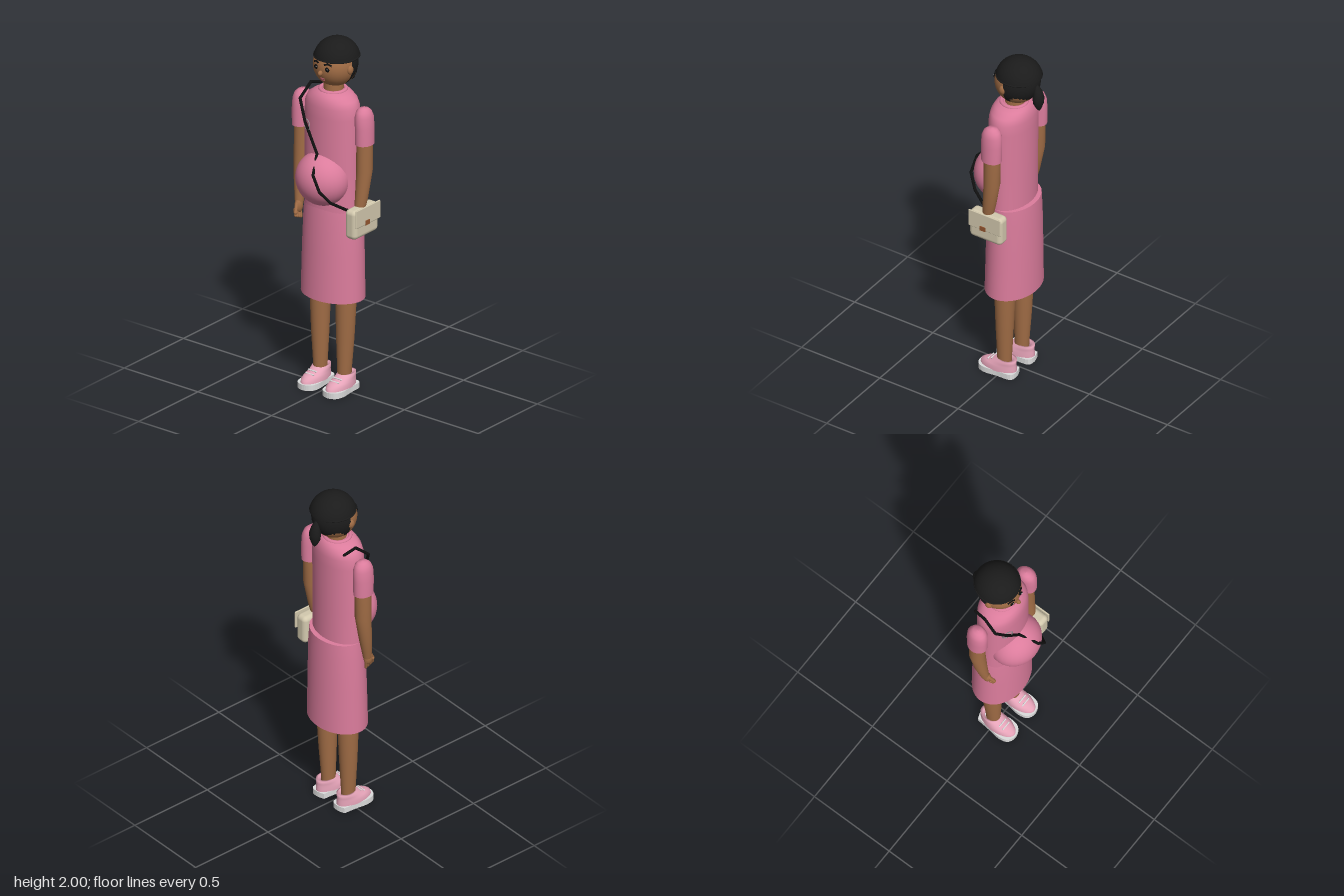
import * as THREE from 'three';
import { RoundedBoxGeometry } from 'three/addons/geometries/RoundedBoxGeometry.js';

const mat = (name, color, side = THREE.FrontSide) => {
  const m = new THREE.MeshStandardMaterial({ color, side });
  m.name = name;
  return m;
};

// Smooth skin through elliptical rings [y, rx, rz, cx, cz], listed bottom to top
function loft(rings, n = 36) {
  const pos = [], idx = [];
  rings.forEach(([y, rx, rz, cx = 0, cz = 0], r) => {
    for (let i = 0; i < n; i++) {
      const a = (i / n) * Math.PI * 2;
      pos.push(cx + rx * Math.cos(a), y, cz + rz * Math.sin(a));
      if (r < rings.length - 1) {
        const p = r * n + i, q = r * n + (i + 1) % n;
        idx.push(p, p + n, q, q, p + n, q + n);
      }
    }
  });
  const g = new THREE.BufferGeometry();
  g.setAttribute('position', new THREE.Float32BufferAttribute(pos, 3));
  g.setIndex(idx);
  g.computeVertexNormals();
  return g;
}

export function createModel() {
  const model = new THREE.Group();
  model.name = 'woman';
  const dress = mat('dress pink', 0xdb7c9c, THREE.DoubleSide);
  const skin = mat('skin brown', 0xa06c45);
  const hair = mat('hair black', 0x1b1b1b, THREE.DoubleSide);
  const shoe = mat('shoe pink', 0xe5a3b8, THREE.DoubleSide);
  const white = mat('sole white', 0xdcdcdc);
  const cream = mat('bag cream', 0xd3c9ae);
  const clasp = mat('clasp brown', 0x94552f);
  const black = mat('strap black', 0x101010);
  const lips = mat('lip red', 0xa0525a);
  const grey = mat('badge grey', 0x9a8f94);

  const add = (name, geo, material, x = 0, y = 0, z = 0, parent = model) => {
    const m = new THREE.Mesh(geo, material);
    m.name = name;
    m.position.set(x, y, z);
    parent.add(m);
    return m;
  };
  const ball = (name, material, x, y, z, rx, ry = rx, rz = rx, parent = model) => {
    const m = add(name, new THREE.SphereGeometry(1, 32, 24), material, x, y, z, parent);
    m.scale.set(rx, ry, rz);
    return m;
  };
  // Rounded rod between two points
  const rod = (name, material, a, b, r, parent = model) => {
    const p = new THREE.Vector3(...a), q = new THREE.Vector3(...b), d = q.clone().sub(p);
    const m = add(name, new THREE.CapsuleGeometry(r, d.length(), 6, 12), material, 0, 0, 0, parent);
    m.position.copy(p).add(q).multiplyScalar(0.5);
    m.quaternion.setFromUnitVectors(new THREE.Vector3(0, 1, 0), d.normalize());
    return m;
  };

  // Dress
  add('bodice', loft([
    [1.03, 0.166, 0.112, 0, -0.013], [1.3, 0.165, 0.113, 0, -0.013], [1.58, 0.166, 0.115, 0, -0.015],
    [1.64, 0.162, 0.114, 0, -0.016], [1.675, 0.145, 0.108, 0, -0.017], [1.7, 0.11, 0.096, 0, -0.018],
    [1.715, 0.075, 0.08, 0, -0.02], [1.718, 0.05, 0.05, 0, -0.02],
  ], 48), dress);
  add('skirt', loft([
    [0.535, 0.189, 0.14, 0, -0.02], [0.8, 0.183, 0.136, 0, -0.022],
    [1.0, 0.177, 0.13, 0, -0.025], [1.1, 0.168, 0.123, 0, -0.028],
  ], 48), dress);
  add('skirtTop', loft([[1.1, 0.168, 0.123, 0, -0.028], [1.102, 0.1, 0.08, 0, -0.028]], 48), dress);
  ball('belly', dress, 0, 1.226, 0.068, 0.152, 0.149, 0.137);
  const collar = add('collar', new THREE.TorusGeometry(0.068, 0.011, 12, 36), dress, 0, 1.714, -0.02);
  collar.rotation.x = Math.PI / 2;

  // Badge ring on the chest
  const badge = add('badgeRing', new THREE.TorusGeometry(0.03, 0.003, 8, 32), grey, -0.09, 1.515, 0.088);
  badge.rotation.y = -0.42;

  // Neck and head
  add('neck', new THREE.CylinderGeometry(0.052, 0.055, 0.12, 32), skin, 0, 1.725, -0.025);
  ball('head', skin, 0, 1.855, -0.04, 0.118, 0.123, 0.123);
  ball('nose', skin, 0, 1.837, 0.089, 0.012, 0.015, 0.015);
  const faceZ = (x, y) =>
    -0.04 + 0.123 * Math.sqrt(1 - (x / 0.118) ** 2 - ((y - 1.855) / 0.123) ** 2);
  for (const s of [1, -1]) {
    ball('ear', skin, s * 0.115, 1.85, -0.022, 0.014, 0.025, 0.02);
    ball('eye', black, s * 0.037, 1.862, faceZ(0.037, 1.862), 0.014, 0.013, 0.006);
    ball('eyeGlint', white, s * 0.037 + 0.004, 1.866, faceZ(0.037, 1.866) + 0.005, 0.003);
    const brow = [[0.018, 1.886], [0.038, 1.892], [0.058, 1.884]]
      .map(([x, y]) => new THREE.Vector3(s * x, y, faceZ(x, y) + 0.001));
    add('eyebrow', new THREE.TubeGeometry(new THREE.CatmullRomCurve3(brow), 12, 0.005, 8), black);
  }
  ball('upperLip', lips, 0, 1.8, faceZ(0, 1.8), 0.017, 0.005, 0.005);
  ball('lowerLip', lips, 0, 1.791, faceZ(0, 1.791), 0.013, 0.006, 0.005);

  // Hair: crown, back of the head and ponytail
  const crown = add('hairCrown',
    new THREE.SphereGeometry(1, 48, 24, 0, Math.PI * 2, 0, 1.4), hair, 0, 1.877, -0.052);
  crown.scale.set(0.124, 0.123, 0.128);
  const edge = add('hairline', new THREE.TorusGeometry(0.121, 0.005, 8, 48), hair, 0, 1.9, -0.051);
  edge.rotation.x = Math.PI / 2;
  const back = add('hairBack',
    new THREE.SphereGeometry(1, 32, 32, Math.PI, Math.PI), hair, 0, 1.862, -0.03);
  back.scale.set(0.122, 0.13, 0.138);
  add('ponytail', loft([
    [1.712, 0.001, 0.001, 0, -0.18], [1.725, 0.014, 0.012, 0, -0.178], [1.76, 0.031, 0.027, 0, -0.175],
    [1.795, 0.035, 0.031, 0, -0.175], [1.83, 0.027, 0.023, 0, -0.172], [1.86, 0.015, 0.014, 0, -0.166],
    [1.875, 0.001, 0.001, 0, -0.162],
  ], 24), hair);

  for (const s of [1, -1]) {
    const side = s > 0 ? 'left' : 'right';

    // Arm and sleeve
    const arm = new THREE.Group();
    arm.name = side + 'ArmGroup';
    model.add(arm);
    add('sleeve', loft([
      [1.455, 0.048, 0.058, s * 0.214, -0.02], [1.55, 0.047, 0.06, s * 0.214, -0.02],
      [1.61, 0.046, 0.058, s * 0.211, -0.02], [1.64, 0.038, 0.046, s * 0.209, -0.02],
      [1.655, 0.024, 0.028, s * 0.207, -0.02], [1.66, 0.001, 0.001, s * 0.206, -0.02],
    ]), dress, 0, 0, 0, arm);
    add('arm', loft([
      [1.01, 0.022, 0.024, s * 0.198, 0.02], [1.06, 0.027, 0.028, s * 0.202, 0.012],
      [1.15, 0.035, 0.036, s * 0.208, -0.002], [1.3, 0.043, 0.045, s * 0.212, -0.021],
      [1.5, 0.042, 0.047, s * 0.212, -0.022],
    ]), skin, 0, 0, 0, arm);
    ball('palm', skin, s * 0.195, 1.0, 0.028, 0.021, 0.04, 0.026, arm);
    for (let i = 0; i < 4; i++) {
      const z = 0.012 + i * 0.015;
      rod('finger', skin, [s * 0.198, 0.985, z], [s * 0.186, 0.938 + i * 0.006, z + 0.008], 0.0085, arm);
    }
    rod('thumb', skin, [s * 0.195, 1.015, 0.045], [s * 0.183, 0.975, 0.07], 0.01, arm);

    // Leg
    add(side + 'Leg', loft([
      [0.06, 0.036, 0.038, s * 0.082, -0.014], [0.12, 0.038, 0.041, s * 0.082, -0.014],
      [0.3, 0.049, 0.049, s * 0.085, -0.017], [0.52, 0.057, 0.057, s * 0.087, -0.02],
      [0.95, 0.065, 0.065, s * 0.087, -0.02],
    ]), skin);

    // Shoe
    const foot = new THREE.Group();
    foot.name = side + 'Shoe';
    foot.position.x = s * 0.085;
    model.add(foot);
    const outline = new THREE.Shape([
      [-0.045, -0.08], [0, -0.093], [0.045, -0.08], [0.052, 0], [0.06, 0.07],
      [0.045, 0.12], [0, 0.138], [-0.045, 0.12], [-0.06, 0.07], [-0.052, 0],
    ].map(([x, z]) => new THREE.Vector2(x, -z)));
    const round = new THREE.SplineCurve([...outline.getPoints().slice(0, 10), outline.getPoints()[0]]);
    const sole = add('sole', new THREE.ExtrudeGeometry(new THREE.Shape(round.getPoints(40)),
      { depth: 0.032, bevelEnabled: false }), white, 0, 0, 0, foot);
    sole.rotation.x = -Math.PI / 2;
    add('shoeUpper', loft([
      [0.03, 0.055, 0.11, 0, 0.021], [0.05, 0.054, 0.107, 0, 0.018], [0.064, 0.05, 0.094, 0, 0.007],
      [0.078, 0.046, 0.073, 0, -0.014], [0.098, 0.044, 0.058, 0, -0.03], [0.099, 0.036, 0.045, 0, -0.028],
      [0.08, 0.03, 0.035, 0, -0.025],
    ]), shoe, 0, 0, 0, foot);
    for (let i = 0; i < 2; i++)
      rod('lace', white, [-0.026, 0.083 - i * 0.012, 0.05 + i * 0.022],
        [0.026, 0.083 - i * 0.012, 0.05 + i * 0.022], 0.004, foot);
  }

  // Shoulder bag
  const bag = new THREE.Group();
  bag.name = 'shoulderBag';
  model.add(bag);
  add('bagBody', new RoundedBoxGeometry(0.075, 0.168, 0.206, 5, 0.026), cream, 0.211, 1.02, 0.002, bag);
  add('bagFlap', new RoundedBoxGeometry(0.009, 0.102, 0.204, 2, 0.004), cream, 0.251, 1.06, -0.001, bag);
  add('bagClasp', new THREE.BoxGeometry(0.008, 0.026, 0.034), clasp, 0.256, 1.02, 0.008, bag);

  // Strap following the shoulder, chest and belly
  const path = [
    [-0.139, 1.69, -0.09], [-0.15, 1.712, -0.02], [-0.16, 1.64, 0.06], [-0.1, 1.535, 0.094],
    [-0.01, 1.375, 0.104], [0.035, 1.292, 0.194], [0.083, 1.21, 0.2], [0.12, 1.14, 0.15], [0.155, 1.08, 0.06],
    [0.185, 1.07, 0.03],
  ];
  for (let i = 1; i < path.length; i++) rod('strap', black, path[i - 1], path[i], 0.008, bag);

  return model;
}
